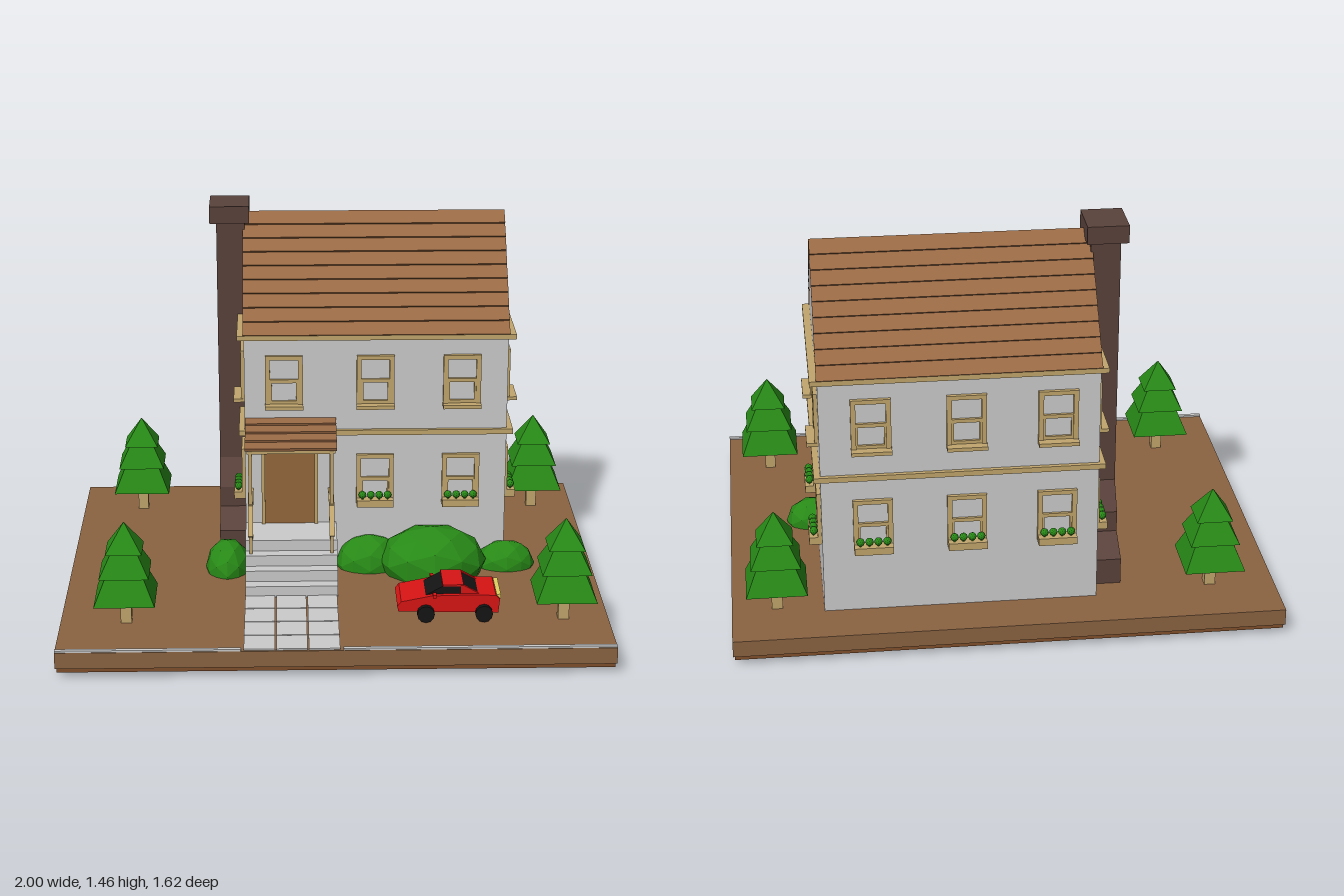
import * as THREE from 'three';

const mat = (color, extra = {}) => new THREE.MeshStandardMaterial({ color, flatShading: true, ...extra });
const M = {
  grey: mat(0xcccccc), tan: mat(0xc2a66d), roof: mat(0x9a6a45), earth: mat(0x8b6442), rim: mat(0x80502c),
  brick: mat(0x5a423c), door: mat(0x94683c), green: mat(0x288a17), red: mat(0xd81414), black: mat(0x141414), yellow: mat(0xe0d060),
};

function add(parent, name, geometry, material, x = 0, y = 0, z = 0) {
  const mesh = new THREE.Mesh(geometry, material);
  mesh.name = name;
  mesh.position.set(x, y, z);
  parent.add(mesh);
  return mesh;
}

// Box given by its lower and upper limits
function box(parent, name, material, [x0, x1], [y0, y1], [z0, z1]) {
  return add(parent, name, new THREE.BoxGeometry(x1 - x0, y1 - y0, z1 - z0), material,
    (x0 + x1) / 2, (y0 + y1) / 2, (z0 + z1) / 2);
}

// Bar from a to b lying in a plane of constant x
function bar(parent, name, material, x, [za, ya], [zb, yb], w, h) {
  const len = Math.hypot(zb - za, yb - ya);
  const m = add(parent, name, new THREE.BoxGeometry(w, h, len), material, x, (ya + yb) / 2, (za + zb) / 2);
  m.rotation.x = -Math.atan2(yb - ya, zb - za);
  return m;
}

const shape = (pts) => new THREE.Shape(pts.map(([a, b]) => new THREE.Vector2(a, b)));
const extrude = (pts, depth) => new THREE.ExtrudeGeometry(shape(pts), { depth, bevelEnabled: false });
// Profile of [z, y] points extruded along x
function extrudeX(parent, name, material, pts, x0, x1) {
  const g = extrude(pts.map(([z, y]) => [-z, y]), x1 - x0).rotateY(Math.PI / 2);
  return add(parent, name, g, material, x0);
}

// Lapped shingle slope from eave to ridge, as a sawtooth section
function shingles(parent, name, [ze, ye], [zr, yr], x0, x1, rows, t) {
  const dz = zr - ze, dy = yr - ye, len = Math.hypot(dz, dy);
  const nz = -Math.sign(dz) * dy / len, ny = Math.abs(dz) / len;
  const pts = [[ze, ye]];
  for (let i = 0; i < rows; i++) {
    const a = i / rows, b = (i + 1) / rows;
    pts.push([ze + dz * a + nz * t, ye + dy * a + ny * t]);
    pts.push([ze + dz * b + nz * t * 0.25, ye + dy * b + ny * t * 0.25]);
  }
  pts.push([zr, yr]);
  extrudeX(parent, name, M.roof, pts, x0, x1);
}

// Sash window facing +z, with a sill or a planter box
function makeWindow(planter) {
  const g = new THREE.Group();
  g.name = planter ? 'planterWindow' : 'sillWindow';
  for (const s of [-1, 1]) {
    box(g, 'windowJamb', M.tan, [s * 0.062 - 0.009, s * 0.062 + 0.009], [-0.1, 0.1], [-0.01, 0.014]);
    box(g, 'sashStile', M.tan, [s * 0.05 - 0.004, s * 0.05 + 0.004], [-0.09, 0], [-0.01, 0.009]);
  }
  box(g, 'windowHead', M.tan, [-0.071, 0.071], [0.084, 0.1], [-0.01, 0.014]);
  box(g, 'meetingRail', M.tan, [-0.055, 0.055], [-0.007, 0.007], [-0.01, 0.01]);
  box(g, 'bottomRail', M.tan, [-0.055, 0.055], [-0.09, -0.078], [-0.01, 0.009]);
  if (planter) {
    box(g, 'planterBox', M.tan, [-0.07, 0.07], [-0.104, -0.076], [-0.01, 0.045]);
    for (let i = 0; i < 4; i++) {
      const x = (i - 1.5) * 0.032;
      add(g, 'planterStem', new THREE.CylinderGeometry(0.004, 0.004, 0.02, 5), M.green, x, -0.07, 0.028);
      add(g, 'planterPlant', new THREE.IcosahedronGeometry(0.015, 1), M.green, x, -0.058, 0.028);
    }
  } else box(g, 'windowSill', M.tan, [-0.072, 0.072], [-0.104, -0.09], [-0.01, 0.042]);
  return g;
}

function makeTree(x, z) {
  const g = new THREE.Group();
  g.name = 'tree';
  box(g, 'trunk', M.tan, [-0.02, 0.02], [0.1, 0.21], [-0.02, 0.02]);
  for (const [half, y, h] of [[0.11, 0.2, 0.26], [0.09, 0.3, 0.18], [0.066, 0.385, 0.105]]) {
    const cone = new THREE.ConeGeometry(half * Math.SQRT2, h, 4).rotateY(Math.PI / 4);
    add(g, 'foliageTier', cone, M.green, 0, y + h / 2, 0);
  }
  g.position.set(x, 0, z);
  return g;
}

function makeCar() {
  const g = new THREE.Group();
  g.name = 'car';
  const zc = 0.483;
  const body = [[0.23, 0.14], [0.595, 0.132], [0.6, 0.185], [0.585, 0.2], [0.5, 0.203], [0.35, 0.2], [0.24, 0.178], [0.226, 0.16]];
  add(g, 'carBody', extrude(body, 0.17), M.red, 0, 0, zc - 0.085);
  // Glazed cabin under a red roof panel
  add(g, 'carGlass', extrude([[0.33, 0.196], [0.525, 0.2], [0.465, 0.232], [0.395, 0.232]], 0.136), M.black, 0, 0, zc - 0.068);
  box(g, 'carRoof', M.red, [0.392, 0.468], [0.23, 0.237], [zc - 0.07, zc + 0.07]);
  for (const s of [-1, 1]) {
    const side = zc + s * 0.066;
    add(g, 'carPillar', extrude([[0.458, 0.2], [0.53, 0.2], [0.468, 0.235], [0.458, 0.235]], 0.012), M.red, 0, 0, side - 0.006);
    box(g, 'doorMirror', M.red, [0.355, 0.368], [0.197, 0.21], [zc + s * 0.09 - 0.012, zc + s * 0.09 + 0.012]);
    for (const x of [0.33, 0.542]) {
      add(g, 'wheel', new THREE.CylinderGeometry(0.032, 0.032, 0.036, 12).rotateX(Math.PI / 2), M.black, x, 0.134, zc + s * 0.086);
    }
  }
  box(g, 'lightBar', M.yellow, [0.588, 0.604], [0.184, 0.2], [zc - 0.075, zc + 0.075]);
  return g;
}

export function createModel() {
  const model = new THREE.Group();
  model.name = 'houseScene';

  // Ground slab, pavement edge and tiled path
  box(model, 'ground', M.earth, [-1, 1], [0.038, 0.1], [-0.808, 0.808]);
  box(model, 'groundRim', M.rim, [-0.994, 0.994], [0.022, 0.04], [-0.802, 0.802]);
  for (const r of [[-1, -0.34], [0.025, 1]]) box(model, 'pavementEdge', M.grey, r, [0.095, 0.107], [0.79, 0.806]);
  for (let i = 0; i < 3; i++) for (let j = 0; j < 4; j++) {
    const x = -0.33 + i * 0.116, z = 0.342 + j * 0.116;
    box(model, 'pathTile', M.grey, [x, x + 0.111], [0.09, 0.106], [z, z + 0.111]);
  }

  // Walls with gables, and trim bands
  const X = [-0.33, 0.665], ridge = [-0.305, 1.418];
  extrudeX(model, 'walls', M.grey, [[0.02, 0.09], [0.02, 1.03], ridge, [-0.63, 1.03], [-0.63, 0.09]], ...X);
  box(model, 'middleTrim', M.tan, [-0.352, 0.688], [0.63, 0.65], [-0.646, 0.036]);
  box(model, 'eaveTrim', M.tan, [-0.356, 0.692], [1.008, 1.027], [-0.648, 0.038]);

  // Main roof
  shingles(model, 'frontRoof', [0.032, 1.022], ridge, X[0] - 0.003, X[1] + 0.003, 9, 0.013);
  shingles(model, 'backRoof', [-0.642, 1.022], ridge, X[0] - 0.003, X[1] + 0.003, 9, 0.013);

  // Chimney with stepped shoulders and a cap
  const half = [[0.238, 0.09], [0.238, 0.2], [0.13, 0.26], [0.13, 0.34], [0.062, 0.44], [0.062, 1.4]];
  const zc = -0.31;
  extrudeX(model, 'chimney', M.brick,
    [...half.map(([w, y]) => [zc + w, y]), ...half.reverse().map(([w, y]) => [zc - w, y])], -0.433, -0.325);
  box(model, 'chimneyCap', M.brick, [-0.458, -0.308], [1.392, 1.458], [zc - 0.088, zc + 0.088]);

  // Windows on all four walls
  const place = (x, z, angle, floors = [0, 1]) => floors.forEach((f) => {
    const w = makeWindow(f === 0);
    w.position.set(x, f ? 0.845 : 0.45, z);
    w.rotation.y = angle;
    model.add(w);
  });
  place(-0.18, 0.02, 0, [1]);
  for (const x of [0.165, 0.492]) place(x, 0.02, 0);
  for (const x of [-0.18, 0.145, 0.482]) place(x, -0.63, Math.PI);
  for (const z of [-0.108, -0.505]) {
    place(X[1], z, Math.PI / 2);
    place(X[0], z, -Math.PI / 2);
  }

  // Door and frame
  box(model, 'door', M.door, [-0.255, -0.066], [0.27, 0.59], [0.01, 0.028]);
  for (const x of [-0.268, -0.066]) box(model, 'doorJamb', M.tan, [x, x + 0.013], [0.27, 0.6], [0.01, 0.035]);
  box(model, 'doorHead', M.tan, [-0.268, -0.053], [0.588, 0.602], [0.01, 0.035]);

  // Porch deck and steps
  for (let i = 0; i < 4; i++) {
    box(model, 'porchStep', M.grey, [-0.33, 0.017], [0.09, 0.143 + i * 0.0425], [0.01, 0.342 - i * 0.047]);
  }

  // Porch roof, posts and handrails
  shingles(model, 'porchRoof', [0.21, 0.632], [0.015, 0.695], -0.328, 0.016, 4, 0.012);
  box(model, 'porchBeam', M.tan, [-0.322, 0.01], [0.615, 0.635], [0.178, 0.194]);
  for (const x of [-0.309, -0.004]) {
    bar(model, 'porchRafter', M.tan, x, [0.2, 0.63], [0.02, 0.688], 0.016, 0.012);
    box(model, 'porchPost', M.tan, [x - 0.007, x + 0.007], [0.26, 0.625], [0.177, 0.191]);
    bar(model, 'deckRail', M.tan, x, [0.02, 0.408], [0.2, 0.408], 0.02, 0.01);
    bar(model, 'stairRail', M.tan, x, [0.195, 0.408], [0.272, 0.315], 0.02, 0.01);
    box(model, 'railPost', M.tan, [x - 0.006, x + 0.006], [0.22, 0.375], [0.216, 0.228]);
  }

  // Bushes: centre and radii
  for (const [c, r] of [
    [[-0.4, 0.11, 0.06], [0.085, 0.105, 0.117]], [[0.145, 0.112, 0.04], [0.13, 0.112, 0.1]],
    [[0.385, 0.145, 0.1], [0.205, 0.135, 0.155]], [[0.67, 0.11, 0.052], [0.112, 0.09, 0.08]],
  ]) add(model, 'bush', new THREE.IcosahedronGeometry(1, 1), M.green, ...c).scale.set(...r);

  for (const x of [-0.76, 0.835]) for (const z of [-0.577, 0.54]) model.add(makeTree(x, z));
  model.add(makeCar());
  return model;
}
